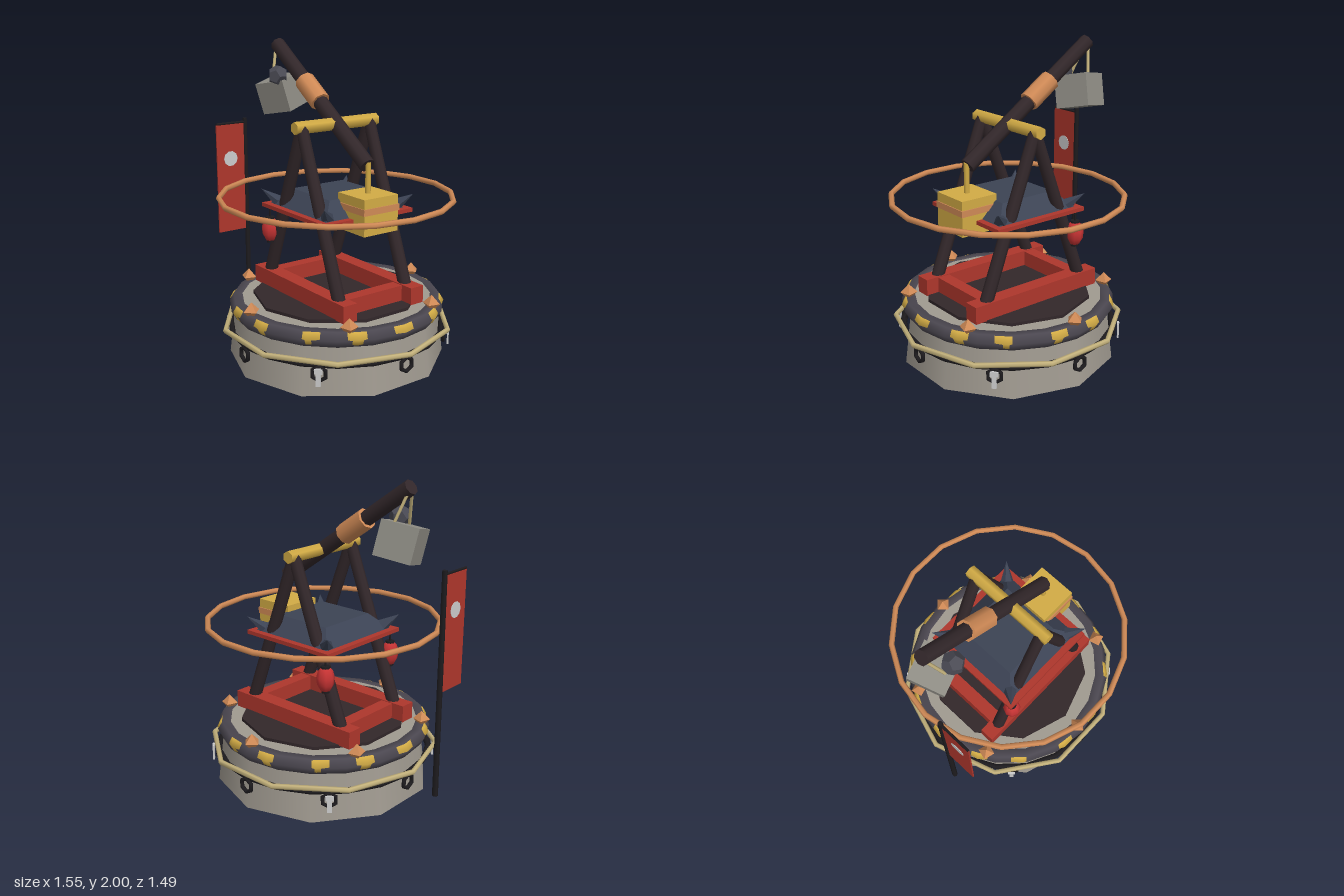
import * as THREE from 'three';

const mat = (color, flatShading = false) => new THREE.MeshStandardMaterial({ color, flatShading });
const M = {
  stone: mat(0xa09a90), block: mat(0x8e8c84, true), rock: mat(0x4a4a54, true),
  wood: mat(0x32272a), iron: mat(0x1e1c1f), tire: mat(0x4b4750),
  gold: mat(0xd2ab45), copper: mat(0xd08a56), spike: mat(0xd08a56, true),
  rope: mat(0xc4b27c), red: mat(0xae362c, true), lantern: mat(0xc83434),
  roof: mat(0x3c4354, true), tag: mat(0xc4c4c0),
};
const V = (x, y, z) => new THREE.Vector3(x, y, z);

export function createModel() {
  const root = new THREE.Group();
  const body = new THREE.Group();
  body.name = 'siegeEngine';
  body.position.x = 0.013;
  root.add(body);

  const add = (name, geo, m, x = 0, y = 0, z = 0) => {
    const mesh = new THREE.Mesh(geo, m);
    mesh.name = name;
    mesh.position.set(x, y, z);
    body.add(mesh);
    return mesh;
  };
  const box = (name, m, w, h, d, x, y, z) => add(name, new THREE.BoxGeometry(w, h, d), m, x, y, z);
  // Cylinder or cone running from point a to point b
  const rod = (name, m, a, b, r0, r1 = r0, sides = 8) => {
    const d = b.clone().sub(a);
    const mesh = add(name, new THREE.CylinderGeometry(r1, r0, d.length(), sides), m);
    mesh.position.copy(a).add(b).multiplyScalar(0.5);
    mesh.quaternion.setFromUnitVectors(V(0, 1, 0), d.normalize());
    return mesh;
  };
  // Horizontal ring
  const ring = (name, m, R, r, y, sides, segs) =>
    add(name, new THREE.TorusGeometry(R, r, sides, segs).rotateX(Math.PI / 2), m, 0, y, 0);

  // Drum base with deck
  add('drum', new THREE.CylinderGeometry(0.65, 0.7, 0.4, 10), M.stone, 0, 0.2, 0);
  add('deck', new THREE.CylinderGeometry(0.54, 0.54, 0.05, 10), M.wood, 0, 0.395, 0);
  ring('tire', M.tire, 0.64, 0.055, 0.355, 6, 20);
  ring('tireStripe', M.gold, 0.652, 0.045, 0.36, 6, 14);
  ring('ironHoop', M.iron, 0.69, 0.018, 0.205, 6, 20);
  ring('ropeHoop', M.rope, 0.737, 0.017, 0.232, 6, 10);
  ring('copperHoop', M.copper, 0.74, 0.018, 1.055, 6, 18);

  // Studs on the tire
  for (let i = 0; i < 6; i++) {
    const a = (i * Math.PI) / 3;
    const s = add('stud', new THREE.OctahedronGeometry(0.055), M.spike,
      Math.sin(a) * 0.645, 0.425, Math.cos(a) * 0.645);
    s.rotation.y = a;
  }

  // Shackles round the drum, with tags on the diagonals
  for (let i = 0; i < 8; i++) {
    const a = (i * Math.PI) / 4;
    const g = new THREE.Group();
    g.name = 'shackleMount';
    g.rotation.y = a;
    body.add(g);
    const s = new THREE.Mesh(new THREE.TorusGeometry(0.045, 0.013, 6, 6), M.iron);
    s.name = 'shackle';
    s.position.set(0, 0.155, 0.7);
    s.rotation.z = Math.PI / 6;
    g.add(s);
    if (i % 2) {
      const t = new THREE.Mesh(new THREE.BoxGeometry(0.03, 0.11, 0.012), M.tag);
      t.name = 'tag';
      t.position.set(0, 0.145, 0.73);
      const t2 = new THREE.Mesh(new THREE.BoxGeometry(0.05, 0.03, 0.012), M.tag);
      t2.name = 'tagHead';
      t2.position.set(0, 0.18, 0.728);
      g.add(t, t2);
    }
  }

  // Red timber frame, legs, lanterns
  for (const s of [-1, 1]) {
    box('longBeam', M.red, 0.98, 0.11, 0.1, 0, 0.47, s * 0.262);
    box('crossBeam', M.red, 0.085, 0.1, 0.44, s * 0.36, 0.47, 0);
    for (const t of [-1, 1])
      rod('leg', M.wood, V(t * 0.39, 0.47, s * 0.26), V(0, 1.51, s * 0.26), 0.042, 0.038);

    const profile = [[0, -0.08], [0.03, -0.075], [0.052, -0.035], [0.056, 0.01], [0.045, 0.05], [0.028, 0.07], [0, 0.072]]
      .map(([x, y]) => new THREE.Vector2(x, y));
    add('lantern', new THREE.LatheGeometry(profile, 8), M.lantern, -0.298, 0.82, s * 0.31);
    rod('lanternCap', M.iron, V(-0.298, 0.88, s * 0.31), V(-0.298, 0.9, s * 0.31), 0.03);
    rod('lanternBase', M.iron, V(-0.298, 0.73, s * 0.31), V(-0.298, 0.75, s * 0.31), 0.025);
    rod('lanternCord', M.iron, V(-0.298, 0.89, s * 0.31), V(-0.298, 0.97, s * 0.31), 0.006, 0.006, 6);
  }

  // Canopy with horned corners
  box('canopySlab', M.red, 0.685, 0.025, 0.685, 0, 0.978, 0);
  const r2 = Math.SQRT2;
  add('canopyRoof', new THREE.CylinderGeometry(0.2 * r2, 0.3 * r2, 0.1, 4).rotateY(Math.PI / 4), M.roof, 0, 1.04, 0);
  for (const s of [-1, 1]) for (const t of [-1, 1])
    rod('horn', M.roof, V(s * 0.265, 1.005, t * 0.265), V(s * 0.342, 1.08, t * 0.342), 0.042, 0, 6);

  // Axle and throwing arm
  rod('axle', M.gold, V(0, 1.512, -0.315), V(0, 1.512, 0.315), 0.04, 0.04, 6);
  const a = V(-0.658, 1.965, 0), b = V(0.31, 1.298, 0);
  rod('throwingArm', M.wood, a, b, 0.048, 0.05);
  rod('armSleeve', M.copper, a.clone().lerp(b, 0.325), a.clone().lerp(b, 0.505), 0.066);

  // Slung stone block and loose rock
  const block = box('slungBlock', M.block, 0.23, 0.21, 0.23, -0.6, 1.645, 0);
  block.rotation.set(0.22, 0.35, 0.1);
  add('rock', new THREE.DodecahedronGeometry(0.07), M.rock, -0.525, 1.768, 0.085);
  for (const s of [-1, 1])
    rod('slingRope', M.rope, V(-0.65, 1.93, s * 0.02), V(-0.59, 1.73, s * 0.085), 0.01, 0.01, 6);

  // Counterweight
  rod('weightRod', M.gold, V(0.318, 1.1, 0), V(0.318, 1.32, 0), 0.017);
  box('counterweight', M.gold, 0.258, 0.226, 0.258, 0.318, 1.018, 0);
  box('weightBand', M.copper, 0.27, 0.04, 0.27, 0.318, 1.053, 0);

  // Banner on its pole
  rod('bannerPole', M.iron, V(-0.771, 0, 0.2), V(-0.771, 1.47, 0.2), 0.019, 0.016, 6);
  rod('bannerBar', M.iron, V(-0.771, 1.445, 0.2), V(-0.771, 1.445, 0.42), 0.009, 0.009, 6);
  box('banner', M.red, 0.01, 0.74, 0.215, -0.771, 1.07, 0.315);
  rod('bannerDisc', M.tag, V(-0.779, 1.205, 0.32), V(-0.763, 1.205, 0.32), 0.052, 0.052, 10);

  return root;
}
